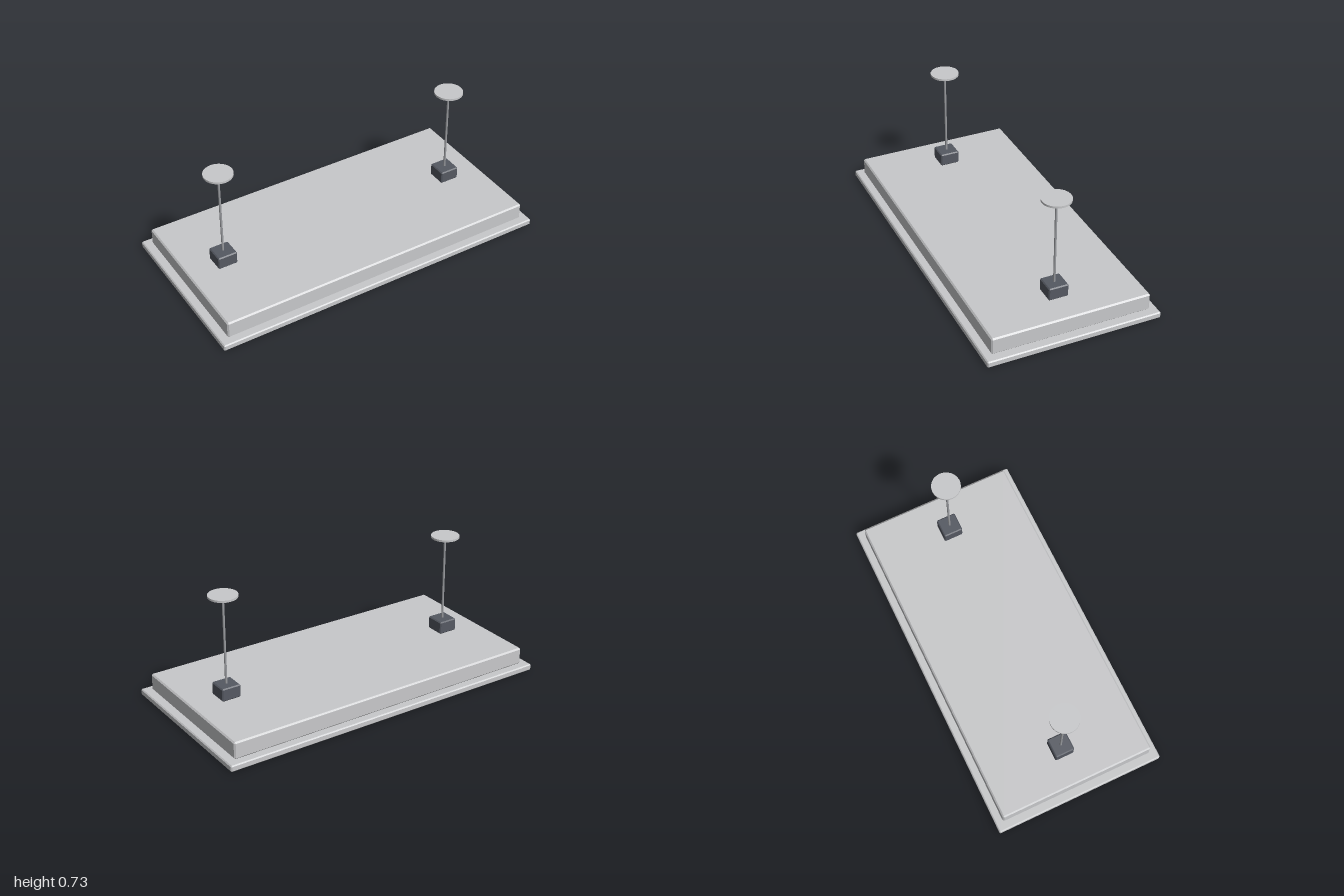
import * as THREE from 'three';
import { ConvexGeometry } from 'three/addons/geometries/ConvexGeometry.js';

const mat = (name, color) => {
  const m = new THREE.MeshStandardMaterial({ color });
  m.name = name;
  return m;
};

// Box with every edge cut by a small flat chamfer c, standing on y0
function chamferBox(w, y0, y1, d, c) {
  const h = [w / 2, (y1 - y0) / 2, d / 2];
  const points = [];
  for (const sx of [-1, 1]) for (const sy of [-1, 1]) for (const sz of [-1, 1])
    for (let axis = 0; axis < 3; axis++) {
      const p = h.map((v, i) => (i === axis ? v : v - c));
      points.push(new THREE.Vector3(sx * p[0], sy * p[1], sz * p[2]));
    }
  return new ConvexGeometry(points).translate(0, (y0 + y1) / 2, 0);
}

export function createModel() {
  const model = new THREE.Group();
  model.name = 'hangingPanel';
  const panelGrey = mat('panel grey', 0xc8c9cb);
  const darkGrey = mat('dark grey', 0x555962);
  const rodGrey = mat('rod grey', 0x9a9ca0);

  const add = (parent, name, geometry, material) => {
    const mesh = new THREE.Mesh(geometry, material);
    mesh.name = name;
    parent.add(mesh);
  };
  // Upright cylinder between two heights
  const column = (rTop, rBottom, y0, y1, sides) =>
    new THREE.CylinderGeometry(rTop, rBottom, y1 - y0, sides).translate(0, (y0 + y1) / 2, 0);

  // Wide lower rim and the housing on it
  add(model, 'rim', chamferBox(2, 0, 0.037, 1, 0.006), panelGrey);
  add(model, 'housing', chamferBox(1.906, 0.037, 0.137, 0.914, 0.008), panelGrey);

  // Two hangers: mounting block, rod and ceiling plate
  for (const [side, x] of [['left', 0.733], ['right', -0.733]]) {
    const hanger = new THREE.Group();
    hanger.name = side + 'Hanger';
    hanger.position.x = x;
    add(hanger, 'mountingBlock', chamferBox(0.114, 0.138, 0.213, 0.114, 0.006), darkGrey);
    add(hanger, 'rod', column(0.0065, 0.0065, 0.2, 0.701, 16), rodGrey);
    add(hanger, 'ceilingPlateCone', column(0.082, 0.033, 0.708, 0.721, 24), panelGrey);
    add(hanger, 'ceilingPlate', column(0.082, 0.082, 0.721, 0.733, 24), panelGrey);
    model.add(hanger);
  }
  return model;
}
